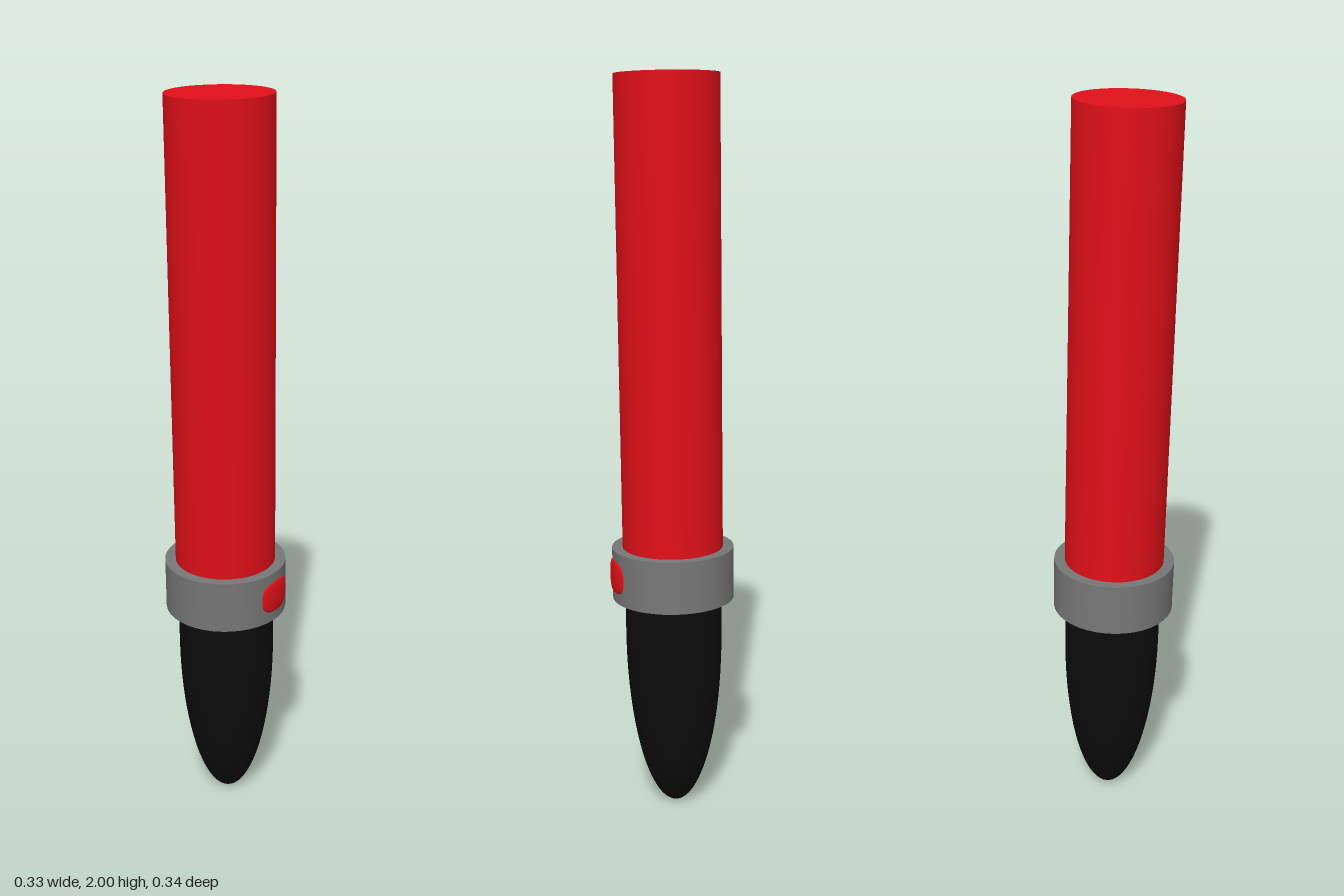
import * as THREE from 'three';

const red = new THREE.MeshStandardMaterial({ color: 0xe01018 });
const black = new THREE.MeshStandardMaterial({ color: 0x0c0c0c });
const grey = new THREE.MeshStandardMaterial({ color: 0x777777 });

function part(name, geometry, material) {
  const mesh = new THREE.Mesh(geometry, material);
  mesh.name = name;
  return mesh;
}

// Softly squared pad, bent around the y axis to hug a collar of the given radius
function padGeometry(halfWidth, halfHeight, halfDepth, radius) {
  const g = new THREE.SphereGeometry(1, 40, 20).rotateX(Math.PI / 2);
  const p = g.attributes.position;
  for (let i = 0; i < p.count; i++) {
    const x = p.getX(i), y = p.getY(i), z = p.getZ(i);
    const r = Math.hypot(x, y) || 1;
    const square = 1 / Math.cbrt(Math.abs(x / r) ** 3 + Math.abs(y / r) ** 3 || 1);
    const angle = (x * square * halfWidth) / radius;
    const out = radius + Math.sign(z) * Math.sqrt(Math.abs(z)) * halfDepth;
    p.setXYZ(i, Math.sin(angle) * out, y * square * halfHeight, Math.cos(angle) * out);
  }
  g.computeVertexNormals();
  return g;
}

export function createModel() {
  const model = new THREE.Group();
  model.name = 'markerStick';

  // Rounded bullet-shaped grip, closed at the top inside the collar
  const gripProfile = [];
  for (let i = 0; i <= 20; i++) {
    const a = (i / 20) * Math.PI / 2;
    gripProfile.push(new THREE.Vector2(0.132 * Math.sin(a), 0.5 - 0.497 * Math.cos(a)));
  }
  gripProfile.push(new THREE.Vector2(0.132, 0.66));
  model.add(part('grip', new THREE.LatheGeometry(gripProfile, 40), black));

  // Collar: a flat-edged band, sides built as separate surfaces to keep edges sharp
  const collar = new THREE.Group();
  collar.name = 'collar';
  const inner = 0.125, outer = 0.166, low = 0.608, high = 0.751;
  const corners = [[inner, low], [outer, low], [outer, high], [inner, high], [inner, low]];
  for (let i = 0; i < 4; i++) {
    const edge = [corners[i], corners[i + 1]].map(([r, y]) => new THREE.Vector2(r, y));
    collar.add(part('collarSide', new THREE.LatheGeometry(edge, 40), grey));
  }
  model.add(collar);

  // Long straight tube
  const tube = part('tube', new THREE.CylinderGeometry(0.137, 0.137, 1.296, 40), red);
  tube.position.y = 1.348;
  model.add(tube);

  // Button on the front left of the collar
  const button = part('button', padGeometry(0.058, 0.045, 0.011, 0.162), red);
  button.position.y = 0.68;
  button.rotation.y = Math.PI / 3;
  model.add(button);

  // Slight lean of the whole stick
  model.position.set(0.005, 0, -0.02);
  model.rotation.set(0.0275, 0, 0.01);
  const root = new THREE.Group();
  root.add(model);
  return root;
}
